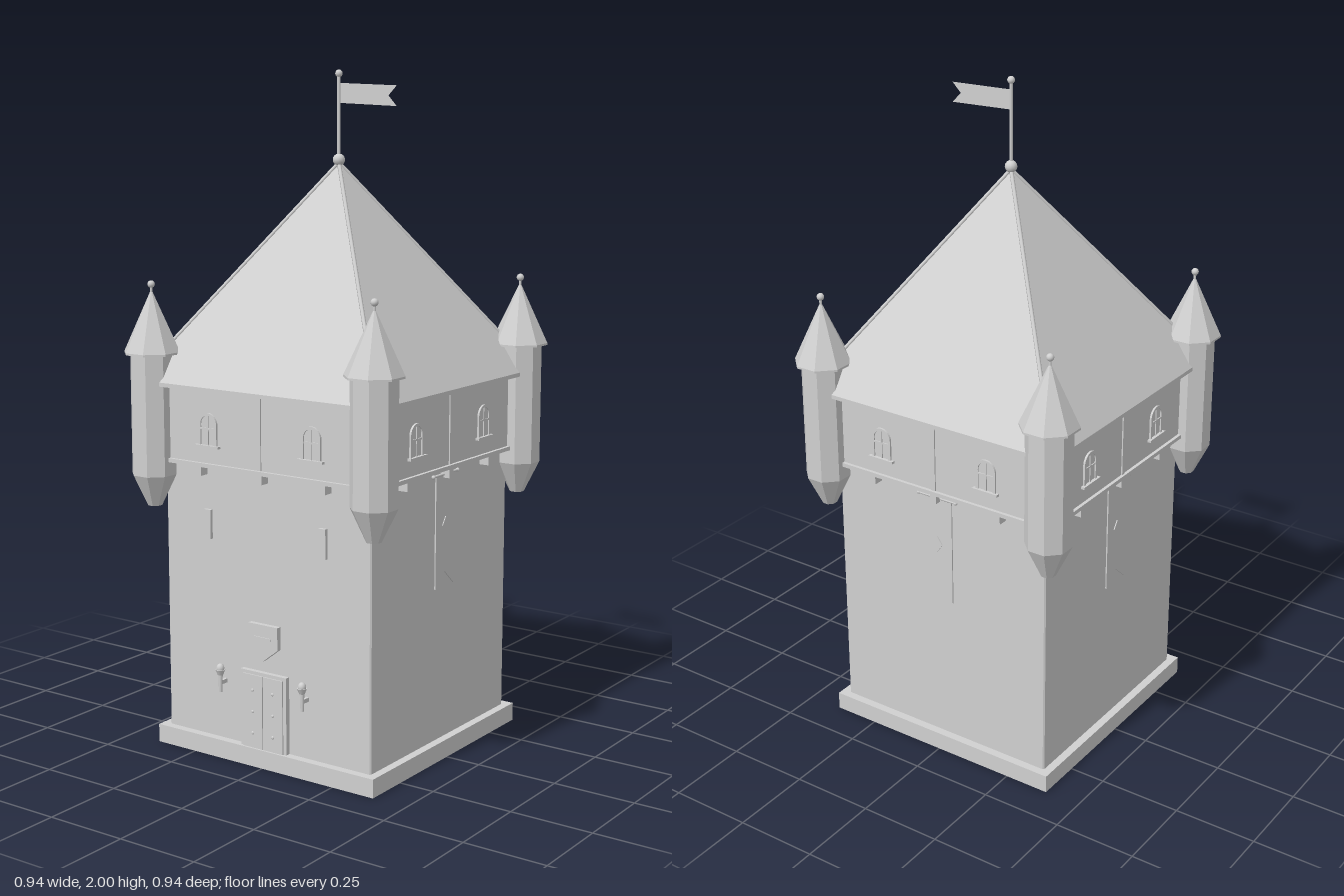
import * as THREE from 'three';

const grey = new THREE.MeshStandardMaterial({ color: 0xd0d0d0 });
grey.name = 'plain grey';
const greySheet = new THREE.MeshStandardMaterial({ color: 0xd0d0d0, side: THREE.DoubleSide });
greySheet.name = 'plain grey cloth';

function add(parent, name, geometry, x = 0, y = 0, z = 0, material = grey) {
  const mesh = new THREE.Mesh(geometry, material);
  mesh.name = name;
  mesh.position.set(x, y, z);
  parent.add(mesh);
  return mesh;
}

// box given by its centre x, y range and z range
function block(parent, name, x, w, y0, y1, z0, z1) {
  return add(parent, name, new THREE.BoxGeometry(w, y1 - y0, z1 - z0), x, (y0 + y1) / 2, (z0 + z1) / 2);
}

function faceted(geometry) {
  const flat = geometry.toNonIndexed();
  flat.computeVertexNormals();
  return flat;
}

function outline(points) {
  return new THREE.Shape(points.map(([x, y]) => new THREE.Vector2(x, y)));
}

function square(h) {
  return outline([[-h, -h], [h, -h], [h, h], [-h, h]]);
}

function plate(shape, depth) {
  return new THREE.ExtrudeGeometry(shape, { depth, bevelEnabled: false, curveSegments: 8 });
}

function arch(w, h) {
  const s = new THREE.Shape();
  s.moveTo(-w, 0);
  s.lineTo(w, 0);
  s.lineTo(w, h - w);
  s.absarc(0, h - w, w, 0, Math.PI, false);
  s.closePath();
  return s;
}

function ball(parent, name, r, x, y, z) {
  return add(parent, name, new THREE.SphereGeometry(r, 12, 8), x, y, z);
}

// arched window frame with pane, cross bars and sill
function makeWindow(x) {
  const g = new THREE.Group();
  g.name = 'window';
  g.position.set(x, 0.938, 0.39);
  const frame = arch(0.033, 0.094);
  frame.holes.push(arch(0.025, 0.086));
  add(g, 'windowFrame', plate(frame, 0.006));
  add(g, 'windowPane', plate(arch(0.027, 0.088), 0.002));
  block(g, 'windowMullion', 0, 0.005, 0, 0.088, 0, 0.005);
  block(g, 'windowBar', 0, 0.052, 0.045, 0.05, 0, 0.005);
  block(g, 'windowSill', 0, 0.085, -0.007, 0, 0, 0.012);
  return g;
}

// timbering, windows and corbels repeated on each side of the upper storey
function makeStoreyFace() {
  const g = new THREE.Group();
  g.name = 'storeyFace';
  for (const x of [-0.183, 0.183]) g.add(makeWindow(x));
  block(g, 'centrePost', 0, 0.014, 0.885, 1.1, 0.39, 0.394);
  block(g, 'lowerBeam', 0, 0.8, 0.872, 0.884, 0.38, 0.4);
  for (const x of [-0.22, 0, 0.22]) {
    block(g, 'corbel', x, 0.022, 0.845, 0.874, 0.36, 0.395);
  }
  return g;
}

function makeBanner() {
  const g = new THREE.Group();
  g.name = 'banner';
  const cloth = outline([[-0.05, 0.855], [-0.05, 0.52], [0, 0.565], [0.05, 0.52], [0.05, 0.855]]);
  add(g, 'bannerCloth', plate(cloth, 0.004), 0, 0, 0.372);
  const emblem = outline([[0, 0.73], [-0.017, 0.705], [0, 0.68], [0.017, 0.705]]);
  add(g, 'bannerEmblem', plate(emblem, 0.003), 0, 0, 0.376);
  const rod = add(g, 'bannerRod', new THREE.CylinderGeometry(0.004, 0.004, 0.13, 8), 0, 0.855, 0.376);
  rod.rotation.z = Math.PI / 2;
  for (const x of [-0.065, 0.065]) ball(g, 'bannerRodKnob', 0.006, x, 0.855, 0.376);
  return g;
}

function makeTurret() {
  const g = new THREE.Group();
  g.name = 'turret';
  const profile = [[0, 0.735], [0.022, 0.735], [0.068, 0.83], [0.068, 1.19], [0, 1.19]];
  const shaft = new THREE.LatheGeometry(profile.map(([r, y]) => new THREE.Vector2(r, y)), 8, Math.PI / 8);
  add(g, 'turretShaft', faceted(shaft));
  const roof = [[0, 1.187], [0.085, 1.187], [0.085, 1.193], [0, 1.375]];
  add(g, 'turretRoof', faceted(new THREE.LatheGeometry(roof.map(([r, y]) => new THREE.Vector2(r, y)), 8, Math.PI / 8)));
  add(g, 'turretSpike', new THREE.CylinderGeometry(0.004, 0.004, 0.04, 8), 0, 1.37, 0);
  ball(g, 'turretFinial', 0.011, 0, 1.389, 0);
  return g;
}

function makeTorch(x) {
  const g = new THREE.Group();
  g.name = 'torch';
  g.position.set(x, 0, 0.392);
  block(g, 'torchBracket', 0, 0.01, 0.228, 0.24, -0.03, 0);
  add(g, 'torchHandle', new THREE.CylinderGeometry(0.007, 0.005, 0.06, 8), 0, 0.235, 0);
  add(g, 'torchCup', new THREE.CylinderGeometry(0.015, 0.008, 0.016, 8), 0, 0.265, 0);
  const flame = ball(g, 'torchFlame', 0.012, 0, 0.277, 0);
  flame.scale.y = 1.2;
  return g;
}

function makeFront() {
  const g = new THREE.Group();
  g.name = 'frontDetails';
  // double door with frame and studs
  block(g, 'doorFrame', 0, 0.165, 0.055, 0.286, 0.36, 0.38);
  for (const s of [-1, 1]) {
    block(g, 'doorLeaf', s * 0.0365, 0.07, 0.055, 0.276, 0.37, 0.384);
    for (const y of [0.1, 0.165, 0.23]) {
      const stud = ball(g, 'doorStud', 0.005, s * 0.036, y, 0.384);
      stud.scale.z = 0.6;
    }
    g.add(makeTorch(s * 0.148));
    block(g, 'arrowSlit', s * 0.205, 0.025, 0.655, 0.742, 0.36, 0.375);
  }
  // shield above the door
  const shield = outline([[-0.052, 0.43], [-0.052, 0.362], [0, 0.322], [0.052, 0.362], [0.052, 0.43]]);
  add(g, 'shield', plate(shield, 0.016), 0, 0, 0.364);
  block(g, 'shieldBand', 0, 0.06, 0.386, 0.394, 0.378, 0.383);
  return g;
}

export function createModel() {
  const model = new THREE.Group();
  model.name = 'watchtower';

  // hollow plinth with a raised floor
  const rim = square(0.39);
  rim.holes.push(square(0.387));
  add(model, 'plinthWalls', plate(rim, 0.05)).rotation.x = -Math.PI / 2;
  block(model, 'plinthTop', 0, 0.78, 0.05, 0.055, -0.39, 0.39);

  // shaft with slightly chamfered corners, and upper storey
  const a = 0.365, b = 0.361;
  const plan = outline([[a, -b], [a, b], [b, a], [-b, a], [-a, b], [-a, -b], [-b, -a], [b, -a]]);
  const shaft = add(model, 'towerShaft', plate(plan, 0.83), 0, 0.055, 0);
  shaft.rotation.x = -Math.PI / 2;
  block(model, 'upperStorey', 0, 0.78, 0.876, 1.1, -0.39, 0.39);

  // details on each side
  for (let i = 0; i < 4; i++) {
    const face = makeStoreyFace();
    if (i > 0) face.add(makeBanner());
    face.rotation.y = i * Math.PI / 2;
    model.add(face);
  }
  model.add(makeFront());

  // corner turrets
  for (const x of [-0.39, 0.39]) {
    for (const z of [-0.39, 0.39]) {
      const turret = makeTurret();
      turret.position.set(x, 0, z);
      model.add(turret);
    }
  }

  // pyramid roof with hip ridges
  block(model, 'eaves', 0, 0.85, 1.098, 1.11, -0.425, 0.425);
  const roof = faceted(new THREE.ConeGeometry(0.425 * Math.SQRT2, 0.625, 4));
  add(model, 'roof', roof, 0, 1.4225, 0).rotation.y = Math.PI / 4;
  const apex = new THREE.Vector3(0, 1.733, 0);
  for (const x of [-0.422, 0.422]) {
    for (const z of [-0.422, 0.422]) {
      const hip = new THREE.LineCurve3(apex, new THREE.Vector3(x, 1.112, z));
      add(model, 'hipRidge', new THREE.TubeGeometry(hip, 1, 0.006, 6));
    }
  }

  // flagpole and swallow-tailed flag
  ball(model, 'roofFinial', 0.018, 0, 1.742, 0);
  add(model, 'flagpole', new THREE.CylinderGeometry(0.005, 0.005, 0.26, 8), 0, 1.855, 0);
  ball(model, 'flagpoleKnob', 0.011, 0, 1.989, 0);
  const flag = outline([[0, 1.905], [0.2, 1.897], [0.172, 1.927], [0.2, 1.955], [0, 1.962]]);
  add(model, 'flag', new THREE.ShapeGeometry(flag), 0, 0, 0, greySheet);
  return model;
}
